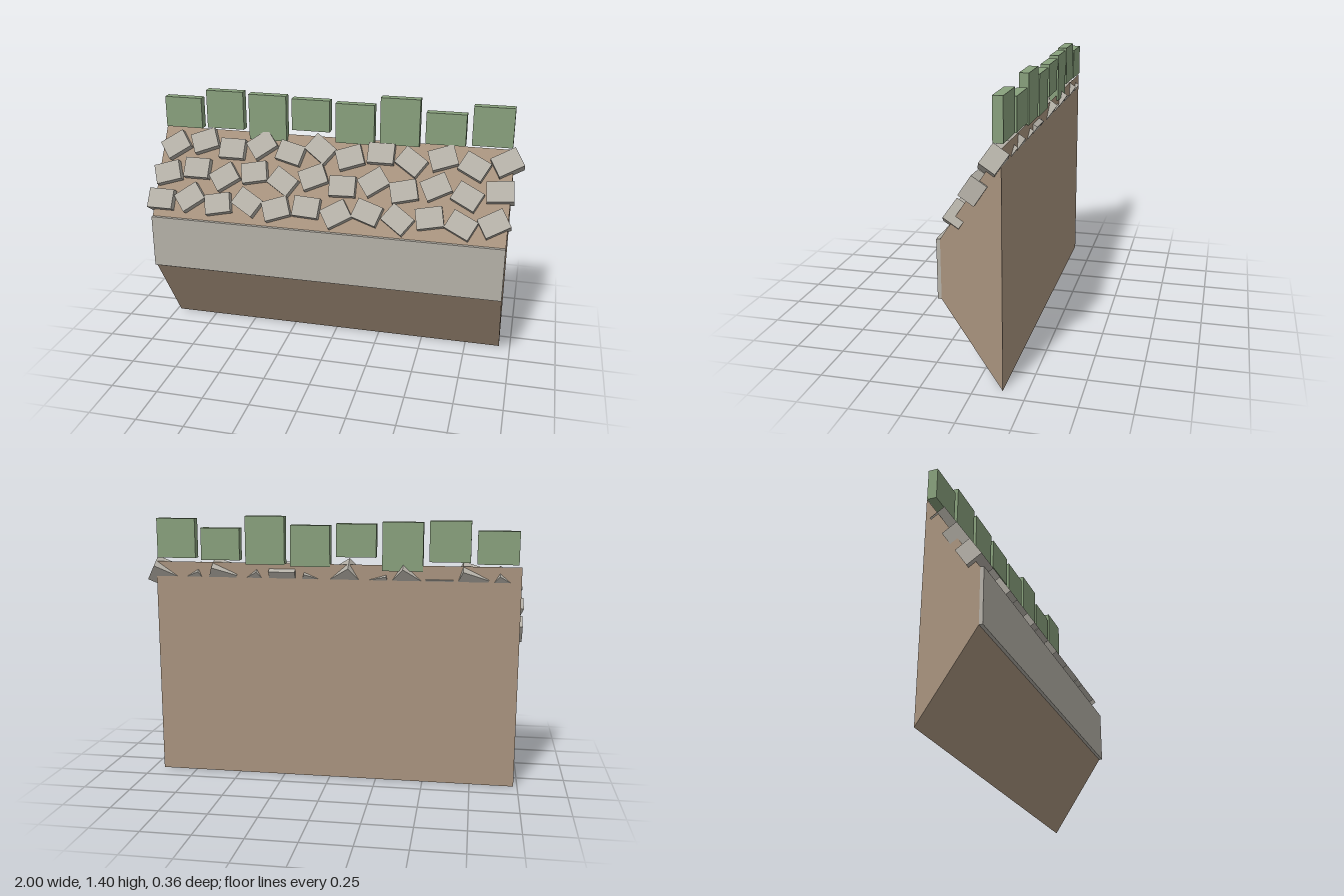
import * as THREE from 'three';

const wallMat = new THREE.MeshStandardMaterial({ name: 'tan wall', color: 0xa8937e, flatShading: true });
const stoneMat = new THREE.MeshStandardMaterial({ name: 'grey stone', color: 0xb4b0a7, flatShading: true });
const greenMat = new THREE.MeshStandardMaterial({ name: 'mossy green', color: 0x88a07c, flatShading: true });

const X0 = -0.98, X1 = 0.94;               // wall ends
const FRONT = 0.15, BACK = -0.135;         // wall depth
const LOW = 0.435, EAVE = 0.725, TOP = 1.158;
const TILT = -Math.atan2(FRONT - BACK, TOP - EAVE);

function box(name, w, h, d, mat, x, y, z) {
  const mesh = new THREE.Mesh(new THREE.BoxGeometry(w, h, d), mat);
  mesh.name = name;
  mesh.position.set(x, y, z);
  return mesh;
}

export function createModel() {
  const model = new THREE.Group();
  model.name = 'parapet';

  // Wall: side profile extruded along x
  const profile = new THREE.Shape([
    [BACK, 0], [FRONT, LOW], [FRONT, EAVE], [BACK, TOP],
  ].map(([z, y]) => new THREE.Vector2(-z, y)));
  const wallGeo = new THREE.ExtrudeGeometry(profile, { depth: X1 - X0, bevelEnabled: false });
  wallGeo.rotateY(Math.PI / 2);
  wallGeo.translate(X0, 0, 0);
  const wall = new THREE.Mesh(wallGeo, wallMat);
  wall.name = 'wall';
  model.add(wall);

  // Stone band on the upright front face
  model.add(box('frontBand', X1 - X0, EAVE - LOW, 0.018, stoneMat,
    (X0 + X1) / 2, (EAVE + LOW) / 2, FRONT + 0.009));

  // Three rows of tumbled stones, half sunk into the slope
  const rows = [
    { x: -0.933, y: [0.803, 0.822], roll: [0, 38, 12, -30, 20, -3, 32, -18, -35, 12, -26, 30] },
    { x: -0.917, y: [0.930, 0.961], roll: [18, 0, 36, 12, -32, 25, 2, 36, 14, 28, -27, 5] },
    { x: -0.896, y: [1.064, 1.092], roll: [36, 22, 0, 38, -14, -36, 20, 0, -34, 20, -27, 30] },
  ];
  const stones = new THREE.Group();
  stones.name = 'slopeStones';
  for (const row of rows) {
    row.roll.forEach((deg, i) => {
      const y = row.y[i % 2];
      const z = FRONT - (FRONT - BACK) * (y - EAVE) / (TOP - EAVE);
      const stone = box('slopeStone', 0.14, 0.109, 0.087, stoneMat, row.x + i * 0.164, y, z);
      stone.rotation.set(TILT, 0, THREE.MathUtils.degToRad(deg)); // roll in the slope, then lean back
      stones.add(stone);
    });
  }
  model.add(stones);

  // Green merlons along the crest: [bottom, top]
  const merlons = new THREE.Group();
  merlons.name = 'merlons';
  [[1.17, 1.338], [1.178, 1.386], [1.128, 1.378], [1.196, 1.367],
    [1.143, 1.357], [1.15, 1.402], [1.17, 1.338], [1.178, 1.386]].forEach(([b, t], i) => {
    merlons.add(box('merlon', 0.209, t - b, 0.049, greenMat, -0.86 + i * 0.2406, (b + t) / 2, -0.118));
  });
  model.add(merlons);

  return model;
}
